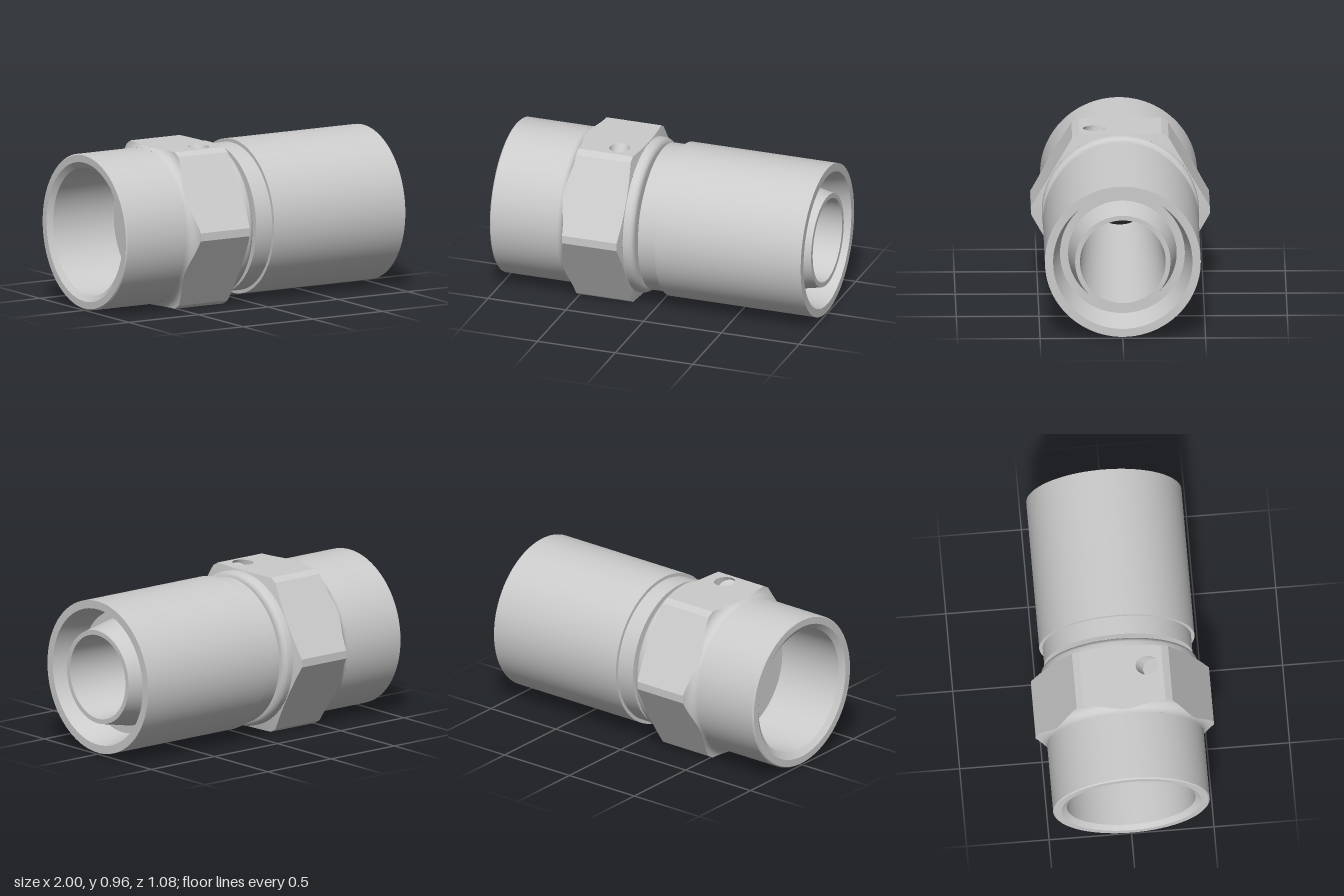
import * as THREE from 'three';
import { toCreasedNormals } from 'three/addons/utils/BufferGeometryUtils.js';

const AXIS_Y = 0.48;      // height of the pipe axis, also half the hexagon's width
const CORNER = 0.54;      // radius of the flattened hexagon corners
const COLLAR = 0.475;     // radius of the round body beside the hexagon
const HALF = Math.PI / 6;
// half angle covered by each hexagon flat
const PHI = HALF - Math.atan((AXIS_Y / Math.cos(HALF) - CORNER) * Math.sqrt(3) / CORNER);
const HOLE = { x: -0.28, z: 0.155, r: 0.06, tilt: Math.PI / 6, depth: 0.055 };

const material = new THREE.MeshStandardMaterial({ color: 0xcccccc });
const openMaterial = new THREE.MeshStandardMaterial({ color: 0xcccccc, side: THREE.DoubleSide });

function addMesh(group, name, geometry, mat = material) {
  const mesh = new THREE.Mesh(geometry, mat);
  mesh.name = name;
  group.add(mesh);
}

// Revolve [x, radius] pairs about the pipe axis
function revolve(profile) {
  const geometry = new THREE.LatheGeometry(profile.map(([x, r]) => new THREE.Vector2(r, x)), 96);
  geometry.rotateZ(-Math.PI / 2);
  geometry.translate(0, AXIS_Y, 0);
  return toCreasedNormals(geometry, 0.4);
}

// Join rows of points into a surface; skip(row, column) leaves a quad out
function loft(rows, skip = () => false) {
  const n = rows[0].length;
  const index = [];
  for (let i = 0; i < rows.length - 1; i++) {
    for (let j = 0; j < n - 1; j++) {
      if (skip(i, j)) continue;
      const a = i * n + j, b = a + 1, c = a + n, d = c + 1;
      index.push(a, b, c, b, d, c);
    }
  }
  const geometry = new THREE.BufferGeometry();
  geometry.setAttribute('position', new THREE.Float32BufferAttribute(rows.flat(2), 3));
  geometry.setIndex(index);
  return toCreasedNormals(geometry, 0.3);
}

// Hexagon radius at an angle measured from the top
function hexRadius(angle) {
  const d = Math.abs(angle - Math.round(angle / (2 * HALF)) * 2 * HALF);
  return Math.min(AXIS_Y / Math.cos(d), CORNER / Math.cos(HALF - d));
}

// Concave fillet behind the hexagon, and chamfer cone ahead of it
const filletX = (r) => {
  const u = Math.min(1, (r - COLLAR) / 0.07);
  return -0.57 + 0.06 * Math.sqrt(1 - (1 - u) ** 2);
};
const chamferX = (r) => -0.143 - 0.25 * (r - COLLAR);

function hexPoint(x, r, angle) {
  return [x, AXIS_Y + r * Math.cos(angle), r * Math.sin(angle)];
}

function createHexagon(group) {
  const FLAT = 16, RINGS = 12;
  const angles = [];
  for (let k = 0; k < 6; k++) {
    for (let j = 0; j <= FLAT; j++) angles.push(k * 2 * HALF - PHI + (2 * PHI * j) / FLAT);
  }
  angles.push(2 * Math.PI - PHI);

  const rows = [];
  for (let i = 0; i <= RINGS; i++) {
    rows.push(angles.map((a) => {
      const r = COLLAR + (hexRadius(a) - COLLAR) * (i / RINGS) ** 2;
      return hexPoint(filletX(r), r, a);
    }));
  }
  rows.push(angles.map((a) => hexPoint(chamferX(hexRadius(a)), hexRadius(a), a)));
  rows.push(angles.map((a) => hexPoint(chamferX(COLLAR), COLLAR, a)));
  addMesh(group, 'hexagon', loft(rows, (i, j) => i === RINGS && j < FLAT));

  // Top flat, pierced by the drilled hole
  const back = rows[RINGS].slice(0, FLAT + 1);
  const front = rows[RINGS + 1].slice(0, FLAT + 1).reverse();
  const shape = new THREE.Shape([...back, ...front].map(([x, , z]) => new THREE.Vector2(x, -z)));
  const hole = new THREE.Path();
  hole.absellipse(HOLE.x, -HOLE.z, HOLE.r, HOLE.r / Math.cos(HOLE.tilt), 0, Math.PI * 2, true);
  shape.holes.push(hole);
  const flat = new THREE.ShapeGeometry(shape, 24);
  flat.rotateX(-Math.PI / 2);
  flat.translate(0, 2 * AXIS_Y, 0);
  addMesh(group, 'drilledFlat', flat);
}

// Slanted blind hole below the top flat
function createDrilledHole(group) {
  const { x, z, r, tilt, depth } = HOLE;
  const sin = Math.sin(tilt), cos = Math.cos(tilt), top = 2 * AXIS_Y;
  const rim = [], floor = [], centre = [];
  for (let j = 0; j <= 48; j++) {
    const a = (j / 48) * Math.PI * 2;
    const c = r * Math.cos(a), s = r * Math.sin(a);
    rim.push([x + c, top, z + s / cos]);
    floor.push([x + c, top - depth * cos + s * sin, z + depth * sin + s * cos]);
    centre.push([x, top - depth * cos, z + depth * sin]);
  }
  addMesh(group, 'drilledHole', loft([rim, floor, centre]), openMaterial);
}

export function createModel() {
  const group = new THREE.Group();
  group.name = 'pipeFitting';

  // Female socket with a chamfered mouth
  addMesh(group, 'socket', revolve([
    [-0.54, 0.197], [-0.54, 0.39], [-0.975, 0.39], [-1, 0.425],
    [-1, 0.468], [-0.993, COLLAR], [-0.57, COLLAR],
  ]));

  createHexagon(group);
  createDrilledHole(group);

  // Rounded collar and neck
  const collar = [[-0.143, COLLAR]];
  for (let i = 0; i <= 8; i++) {
    const a = (i / 8) * Math.PI / 2;
    collar.push([-0.12 + 0.04 * Math.sin(a), COLLAR - 0.04 + 0.04 * Math.cos(a)]);
  }
  collar.push([-0.08, 0.377], [-0.055, 0.377]);
  addMesh(group, 'collar', revolve(collar));

  // Sleeve with its stepped shoulder and tapered mouth
  addMesh(group, 'sleeve', revolve([
    [-0.055, 0.377], [-0.055, 0.45], [0.06, 0.45], [0.06, 0.471],
    [1, 0.471], [1, 0.421], [0.8, 0.377], [0.8, 0.328],
  ]));

  // Inner tube: tapered nose and a long tapered bore back to the socket
  addMesh(group, 'innerTube', revolve([
    [0.8, 0.328], [1, 0.288], [1, 0.259], [-0.54, 0.197],
  ]));

  return group;
}
